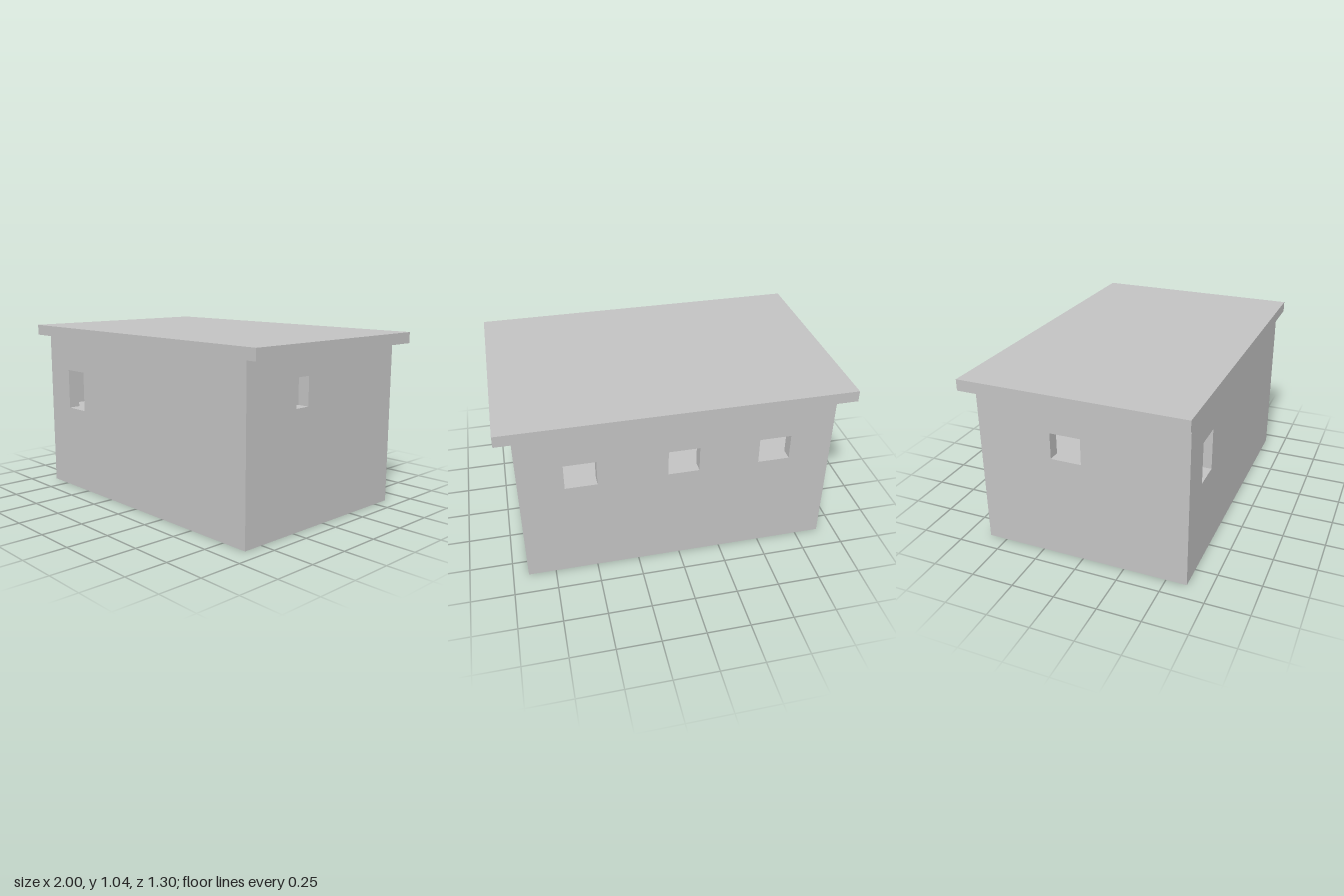
import * as THREE from 'three';

const T = 0.07; // wall thickness
const X0 = -0.895, X1 = 0.91, Z0 = -0.61, Z1 = 0.62, H = 0.975, FLOOR = 0.52;

// Upright panel from a0 to a1 with rectangular openings [a0, a1, y0, y1]
function panelGeometry(a0, a1, openings) {
  const shape = new THREE.Shape([[a0, 0], [a1, 0], [a1, H], [a0, H]].map(p => new THREE.Vector2(...p)));
  for (const [l, r, b, t] of openings) {
    shape.holes.push(new THREE.Path([[l, b], [l, t], [r, t], [r, b]].map(p => new THREE.Vector2(...p))));
  }
  return new THREE.ExtrudeGeometry(shape, { depth: T, bevelEnabled: false });
}

export function createModel() {
  const group = new THREE.Group();
  const concrete = new THREE.MeshStandardMaterial({ color: 0xc2c2c2 });
  concrete.name = 'concrete';

  const add = (name, geometry) => {
    const mesh = new THREE.Mesh(geometry, concrete);
    mesh.name = name;
    group.add(mesh);
  };
  const box = (name, x0, x1, y0, y1, z0, z1) => add(name,
    new THREE.BoxGeometry(x1 - x0, y1 - y0, z1 - z0)
      .translate((x0 + x1) / 2, (y0 + y1) / 2, (z0 + z1) / 2));

  // Long walls: one window in front, three at the back
  add('frontWall', panelGeometry(X0, X1, [[-0.69, -0.52, 0.52, 0.765]]).translate(0, 0, Z1 - T));
  add('backWall', panelGeometry(X0, X1,
    [[-0.645, -0.46], [-0.11, 0.07], [0.473, 0.655]].map(([l, r]) => [l, r, 0.61, 0.765])
  ).translate(0, 0, Z0));

  // End walls, fitted between the long walls
  const endWall = (name, x, opening) => add(name,
    panelGeometry(Z0 + T, Z1 - T, [opening]).rotateY(-Math.PI / 2).translate(x, 0, 0));
  endWall('leftWall', X1, [0.15, 0.245, 0.685, 0.85]);
  endWall('rightWall', X0 + T, [-0.17, 0.01, 0.61, 0.765]);

  // Raised floor and the partitions between rooms
  box('floor', X0 + T, X1 - T, 0, FLOOR, Z0 + T, Z1 - T);
  for (const x of [-0.34, 0.2]) box('partition', x, x + T, FLOOR, H, Z0 + T, Z1 - T);

  // Flat overhanging roof
  box('roof', -1, 1, H, 1.04, -0.65, 0.65);
  return group;
}
